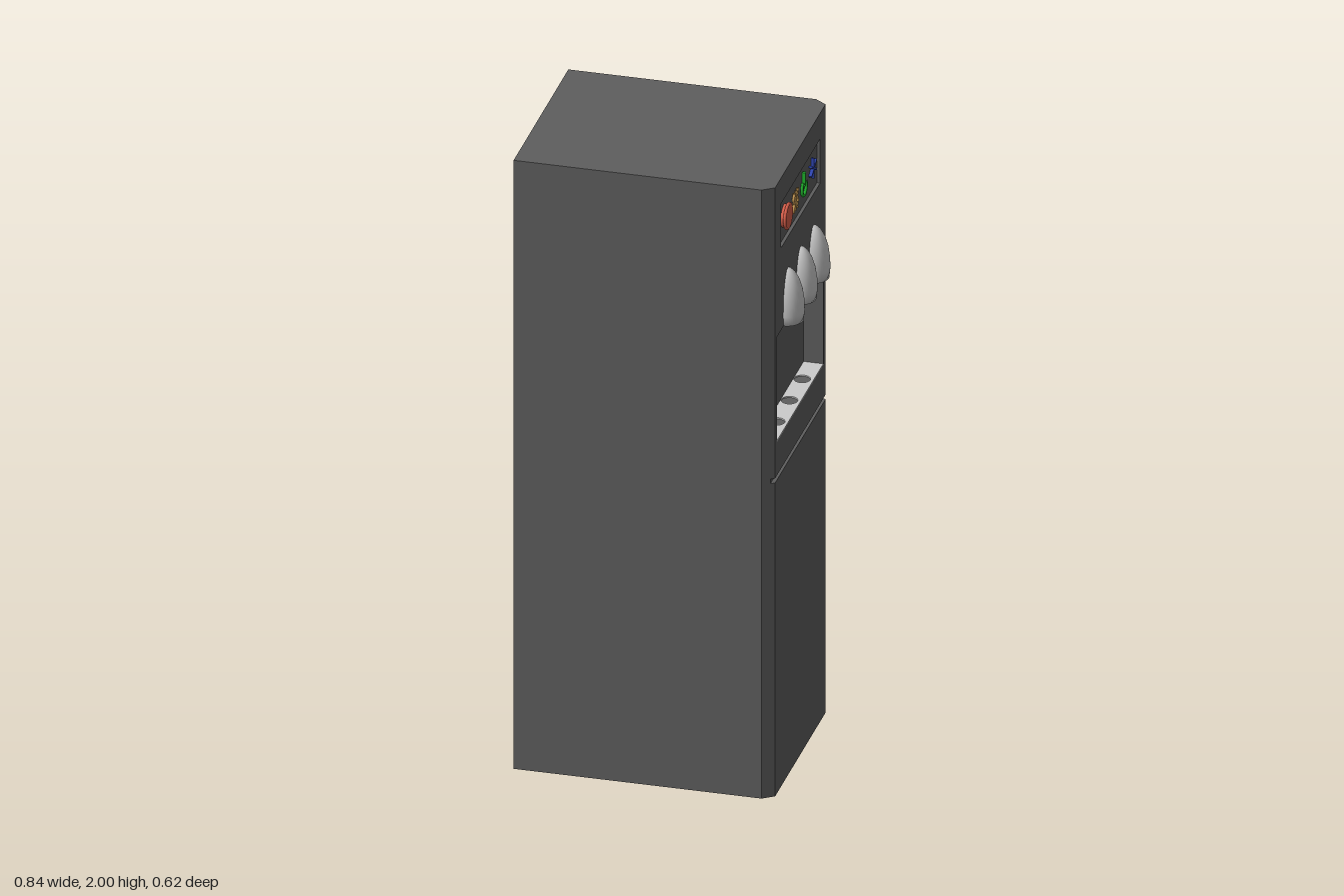
import * as THREE from 'three';

const FRONT = 0.37, BACK = -0.42, SIDE = 0.31, FLAT = 0.285, CHAMFER = 0.335;
const INNER = 0.31;                    // back wall of the dispensing recess
const GAP0 = 1.03, GAP1 = 1.045;       // seam between door and upper front

const mat = (color) => new THREE.MeshStandardMaterial({ color });
const dark = mat(0x5e5e5e), light = mat(0xcccccc), red = mat(0xd9604c);
const amber = mat(0xc89b55), green = mat(0x1fb02c), blue = mat(0x2f45b0);

function add(parent, name, geometry, material, x = 0, y = 0, z = 0) {
  const mesh = new THREE.Mesh(geometry, material);
  mesh.name = name;
  mesh.position.set(x, y, z);
  parent.add(mesh);
  return mesh;
}

// Footprint of [x, z] corners raised from y0 to y1
function raise(points, y0, y1, holes = []) {
  const shape = new THREE.Shape(points.map(([x, z]) => new THREE.Vector2(x, -z)));
  shape.holes.push(...holes);
  const geo = new THREE.ExtrudeGeometry(shape, { depth: y1 - y0, bevelEnabled: false });
  return geo.rotateX(-Math.PI / 2).translate(0, y0, 0);
}

// Rectangle seen from the front (+x), drawn in (-z, y)
const rect = (Type, z0, z1, y0, y1) => new Type([
  new THREE.Vector2(-z1, y0), new THREE.Vector2(-z0, y0),
  new THREE.Vector2(-z0, y1), new THREE.Vector2(-z1, y1),
]);

const footprint = (front, flat) => [
  [BACK, SIDE], [CHAMFER, SIDE], [front, flat], [front, -flat], [CHAMFER, -SIDE], [BACK, -SIDE],
];

function addCabinet(group) {
  add(group, 'lowerCabinet', raise(footprint(FRONT, FLAT), 0, GAP0), dark);
  add(group, 'doorGap', raise(footprint(FRONT - 0.012, FLAT + 0.0086), GAP0, GAP1), dark);
  add(group, 'upperCabinet',
    raise([[BACK, SIDE], [INNER, SIDE], [INNER, -SIDE], [BACK, -SIDE]], GAP1, 2), dark);
  for (const s of [1, -1]) {
    add(group, 'chamferedCorner', raise(
      [[INNER, s * SIDE], [CHAMFER, s * SIDE], [FRONT, s * FLAT], [INNER, s * FLAT]], GAP1, 2), dark);
  }

  // Upper front with openings for the dispensing recess and the control panel
  const face = rect(THREE.Shape, -FLAT, FLAT, GAP1, 2);
  face.holes.push(rect(THREE.Path, -0.26, 0.263, 1.155, 1.5));
  face.holes.push(rect(THREE.Path, -0.225, 0.22, 1.77, 1.915));
  const geo = new THREE.ExtrudeGeometry(face, { depth: FRONT - INNER, bevelEnabled: false });
  add(group, 'upperFront', geo.rotateY(Math.PI / 2).translate(INNER, 0, 0), dark);
  add(group, 'controlPanel', new THREE.BoxGeometry(0.05, 0.145, 0.445), dark,
    INNER + 0.025, 1.8425, -0.0025);
}

function addTray(group) {
  const holes = [0.142, -0.003, -0.148].map((z) =>
    new THREE.Path().absarc(0.336, -z, 0.025, 0, Math.PI * 2, true));
  add(group, 'dripTray', raise(
    [[INNER, 0.263], [FRONT, 0.263], [FRONT, -0.26], [INNER, -0.26]], 1.155, 1.159, holes), light);
}

function addSpouts(group) {
  // Half bullet bodies standing out from the front
  const profile = [[0, 0], [0.049, 0], [0.052, 0.03], [0.051, 0.065], [0.046, 0.1],
    [0.037, 0.13], [0.025, 0.153], [0.012, 0.166], [0, 0.17]]
    .map(([r, y]) => new THREE.Vector2(r, y));
  for (const z of [0.142, -0.003, -0.148]) {
    add(group, 'spoutCover', new THREE.LatheGeometry(profile, 24, 0, Math.PI),
      light, FRONT - 0.002, 1.5, z);
  }
}

function addControls(group) {
  const x = 0.366;
  // Round switch with a raised rim
  const button = new THREE.CylinderGeometry(0.036, 0.036, 0.018, 32).rotateZ(-Math.PI / 2);
  add(group, 'switchButton', button, red, x + 0.002, 1.843, 0.15);
  add(group, 'switchRim', new THREE.TorusGeometry(0.037, 0.005, 8, 32).rotateY(Math.PI / 2),
    red, 0.373, 1.843, 0.15);

  // Heat symbol: three wavy strokes
  for (const z of [0.067, 0.048, 0.029]) {
    const points = [];
    for (let i = 0; i <= 8; i++) {
      points.push(new THREE.Vector3(0, i * 0.0085, 0.005 * Math.sin(i * Math.PI / 2)));
    }
    add(group, 'heatWave',
      new THREE.TubeGeometry(new THREE.CatmullRomCurve3(points), 24, 0.0045, 6),
      amber, x + 0.002, 1.813, z);
  }

  // Power symbol: open ring and a stroke
  const ring = new THREE.TorusGeometry(0.024, 0.005, 6, 28, Math.PI * 1.6);
  ring.rotateZ(Math.PI * 0.7).rotateY(Math.PI / 2);
  add(group, 'powerRing', ring, green, x, 1.835, -0.058);
  add(group, 'powerStroke', new THREE.BoxGeometry(0.01, 0.045, 0.009), green, x, 1.863, -0.058);

  // Cold symbol: six-armed star
  for (let i = 0; i < 3; i++) {
    const bar = add(group, 'coldStar', new THREE.BoxGeometry(0.01, 0.065, 0.006),
      blue, x - 0.001, 1.85, -0.16);
    bar.rotation.x = i * Math.PI / 3;
  }
}

export function createModel() {
  const group = new THREE.Group();
  group.name = 'waterDispenser';
  addCabinet(group);
  addTray(group);
  addSpouts(group);
  addControls(group);
  return group;
}
